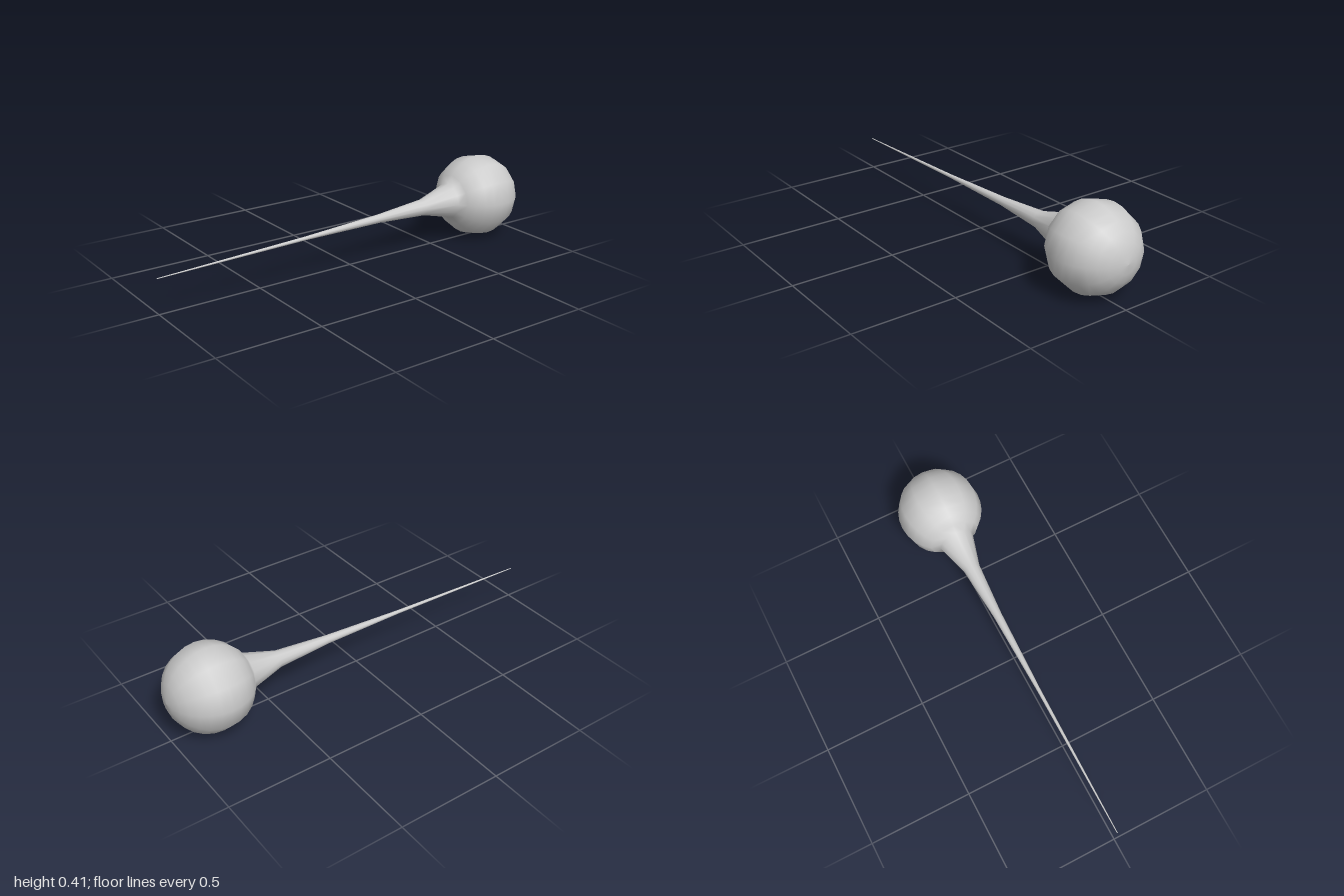
import * as THREE from 'three';

const SIDES = 12, R = 0.207, HEAD_X = 0.793, AXIS_Y = 0.208;

// Centre height of the tail along x: it droops gently toward the tip
const droop = new THREE.SplineCurve([
  new THREE.Vector2(-1, 0.167), new THREE.Vector2(-0.25, 0.188),
  new THREE.Vector2(0.17, 0.199), new THREE.Vector2(0.44, 0.204),
  new THREE.Vector2(0.6, AXIS_Y),
]);

function centreY(x) {
  const p = droop.points;
  if (x >= 0.6) return AXIS_Y;
  const i = Math.max(1, p.findIndex((q) => q.x >= x - 1e-6));
  const t = (x - p[i - 1].x) / (p[i].x - p[i - 1].x);
  return THREE.MathUtils.lerp(p[i - 1].y, p[i].y, t);
}

export function createModel() {
  const group = new THREE.Group();
  group.name = 'tailedBall';

  // Profile as (radius, position along x): closed tip, flared tail, round head
  const profile = [[0, -1], [0.002, -1], [0.009, -0.25], [0.021, 0.17], [0.041, 0.44]]
    .map(([r, x]) => new THREE.Vector2(r, x));
  const start = THREE.MathUtils.degToRad(25), rings = 12;
  for (let i = 0; i <= rings; i++) {
    const a = start + (Math.PI - start) * i / rings;
    const r = i === rings ? 0 : R * Math.sin(a);
    profile.push(new THREE.Vector2(r, HEAD_X - R * Math.cos(a)));
  }

  // Lay the lathe along x and lift each ring to its centre height
  const geometry = new THREE.LatheGeometry(profile, SIDES);
  geometry.rotateZ(-Math.PI / 2);
  const pos = geometry.attributes.position;
  for (let i = 0; i < pos.count; i++) pos.setY(i, pos.getY(i) + centreY(pos.getX(i)));

  const body = new THREE.Mesh(geometry, new THREE.MeshStandardMaterial({ color: 0xcccccc }));
  body.name = 'headAndTail';
  group.add(body);
  return group;
}
